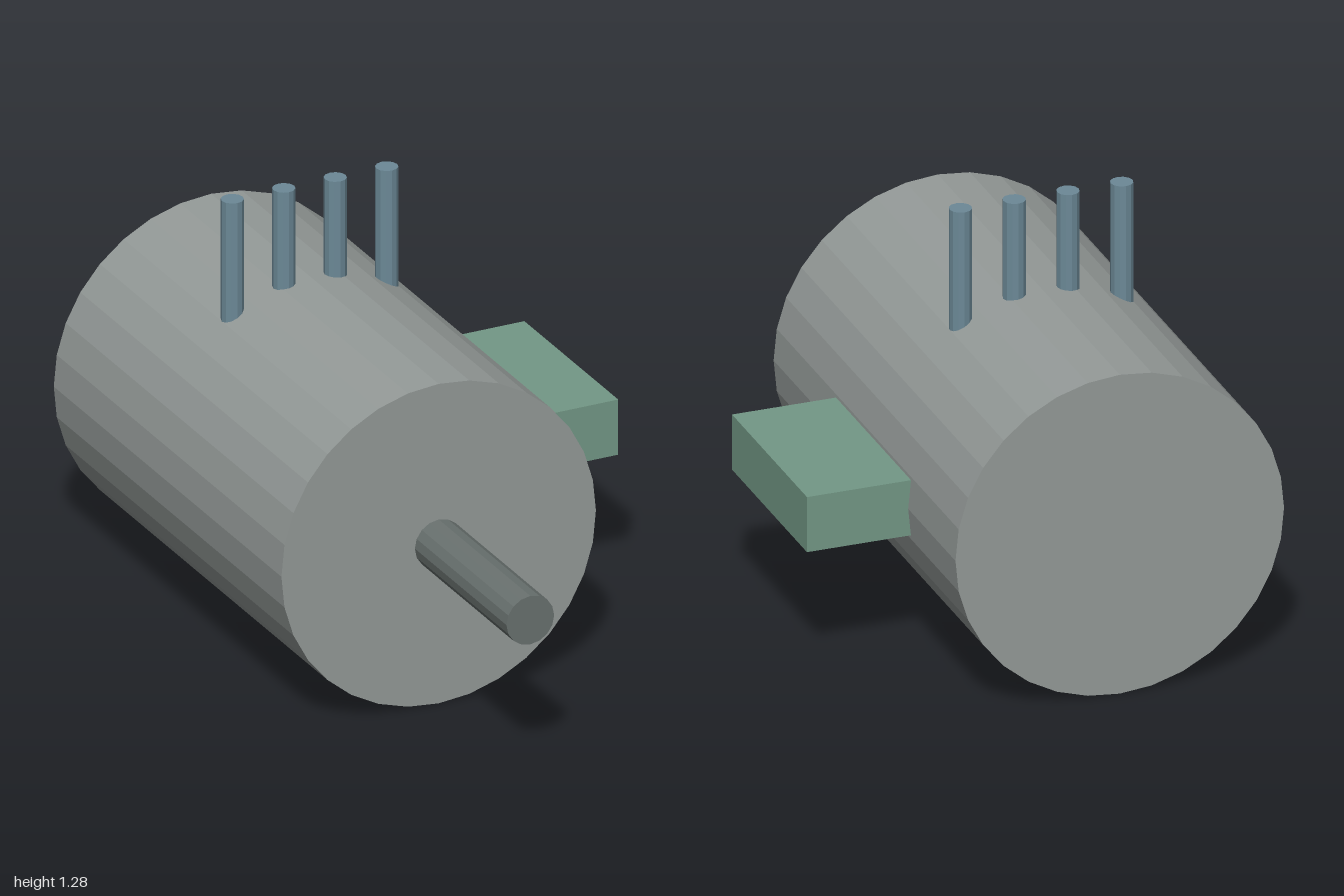
import * as THREE from 'three';

export function createModel() {
  const model = new THREE.Group();
  model.name = 'motor';

  const paint = (name, color) => {
    const m = new THREE.MeshStandardMaterial({ color, flatShading: true });
    m.name = name;
    return m;
  };
  const casingGrey = paint('casingGrey', 0x949a98);
  const shaftGrey = paint('shaftGrey', 0x69716f);
  const pinBlue = paint('pinBlue', 0x6c8997);
  const boxGreen = paint('boxGreen', 0x739886);

  const add = (name, geometry, material, x, y, z) => {
    const mesh = new THREE.Mesh(geometry, material);
    mesh.name = name;
    mesh.position.set(x, y, z);
    model.add(mesh);
    return mesh;
  };

  const axisX = -0.153, axisY = 0.495, radius = 0.495;
  const back = -1, face = 0.426, tip = 1;

  // Cylinder lying along z between two depths
  const barrel = (name, r, sides, z0, z1, material) =>
    add(name, new THREE.CylinderGeometry(r, r, z1 - z0, sides).rotateX(Math.PI / 2),
      material, axisX, axisY, (z0 + z1) / 2);

  // Main casing and the output shaft
  barrel('casing', radius, 32, back, face, casingGrey);
  barrel('shaft', 0.075, 16, face, tip, shaftGrey);

  // Row of four terminal pins, sunk into the casing
  const pinTop = 1.28, pinBottom = 0.85;
  for (let i = 0; i < 4; i++) {
    add('pin' + (i + 1), new THREE.CylinderGeometry(0.033, 0.033, pinTop - pinBottom, 12),
      pinBlue, axisX + (i - 1.5) * 0.162, (pinTop + pinBottom) / 2, -0.383);
  }

  // Connection box on the left side, reaching into the casing
  const boxInner = 0.28, boxOuter = 0.647;
  add('connectionBox', new THREE.BoxGeometry(boxOuter - boxInner, 0.171, 0.588),
    boxGreen, (boxInner + boxOuter) / 2, 0.497, -0.335);

  return model;
}
